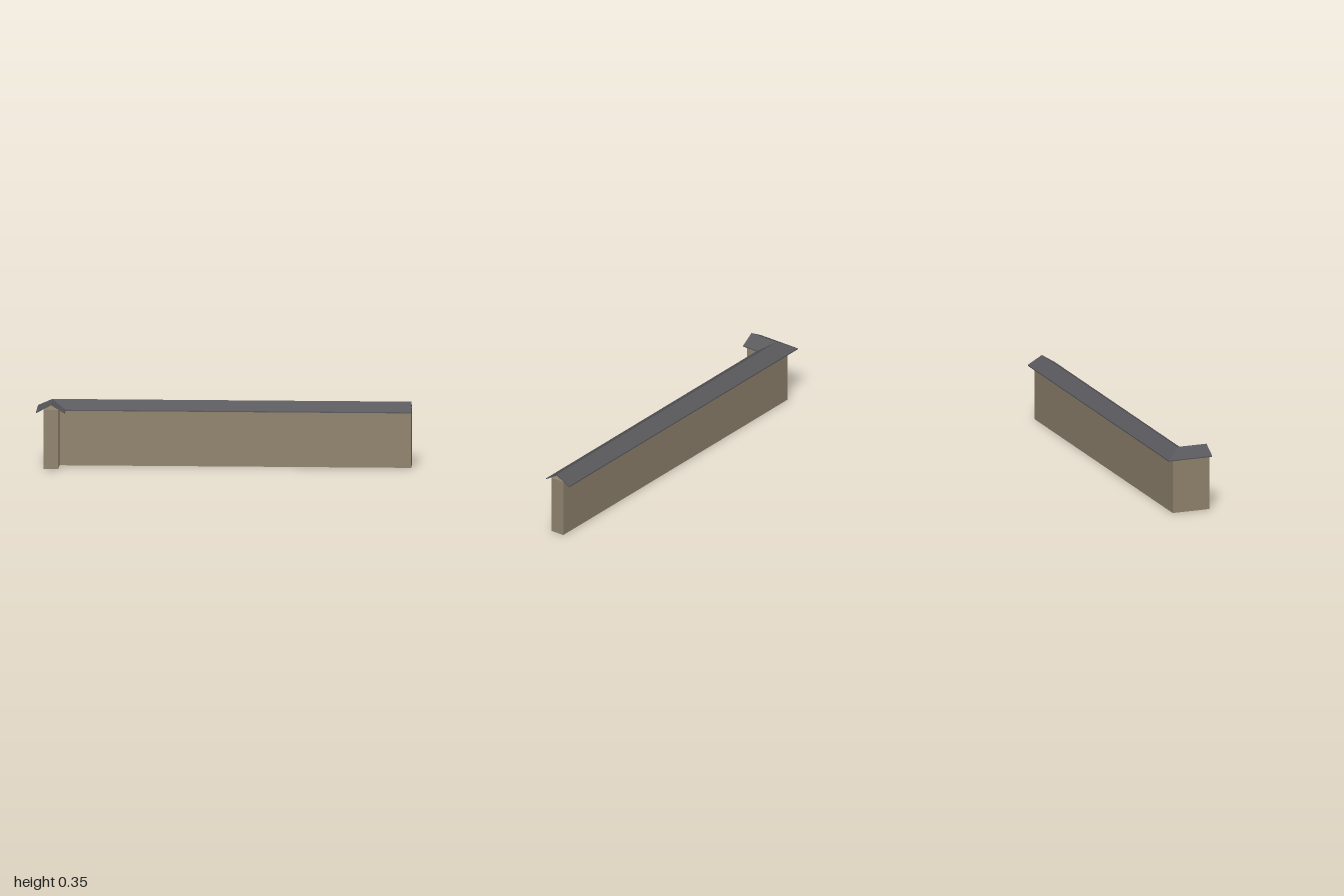
import * as THREE from 'three';

const stone = new THREE.MeshStandardMaterial({ color: 0x92846f });
stone.name = 'stone';
const slate = new THREE.MeshStandardMaterial({ color: 0x58585c });
slate.name = 'slate';

// L-shaped wall: long run with a short return on the right end
function makeWall() {
  const plan = [[-0.96, -0.086], [1, -0.086], [1, -0.005], [-0.88, -0.005], [-0.88, 0.125], [-0.96, 0.125]];
  const shape = new THREE.Shape(plan.map(([x, z]) => new THREE.Vector2(x, -z)));
  const geo = new THREE.ExtrudeGeometry(shape, { depth: 0.32, bevelEnabled: false });
  geo.rotateX(-Math.PI / 2);
  const wall = new THREE.Mesh(geo, stone);
  wall.name = 'wall';
  return wall;
}

// Gabled coping swept along the wall, mitred at the corner
function makeRoof() {
  // offset from the ridge line, height
  const profile = [[-0.081, 0.3], [-0.081, 0.306], [0, 0.352], [0.073, 0.306], [0.073, 0.3], [0, 0.345]];
  const stations = [
    d => [-0.919 + d, 0.125],
    d => [-0.919 + d, -0.044 + d],
    d => [1, -0.044 + d],
  ];
  const rings = stations.map(at => profile.map(([d, y]) => {
    const [x, z] = at(d);
    return [x, y, z];
  }));
  const pos = [];
  const quad = (a, b, c, d) => pos.push(...a, ...b, ...c, ...a, ...c, ...d);
  const n = profile.length;
  for (let s = 0; s < 2; s++) {
    for (let i = 0; i < n; i++) {
      const j = (i + 1) % n;
      quad(rings[s][i], rings[s][j], rings[s + 1][j], rings[s + 1][i]);
    }
  }
  // Gable end edges
  for (const q of [[0, 1, 2, 5], [5, 2, 3, 4]]) {
    quad(...q.map(i => rings[2][i]));
    quad(...q.map(i => rings[0][i]).reverse());
  }
  const geo = new THREE.BufferGeometry();
  geo.setAttribute('position', new THREE.Float32BufferAttribute(pos, 3));
  geo.computeVertexNormals();
  const roof = new THREE.Mesh(geo, slate);
  roof.name = 'roof';
  return roof;
}

export function createModel() {
  const group = new THREE.Group();
  group.name = 'roofedWall';
  group.add(makeWall(), makeRoof());
  return group;
}
